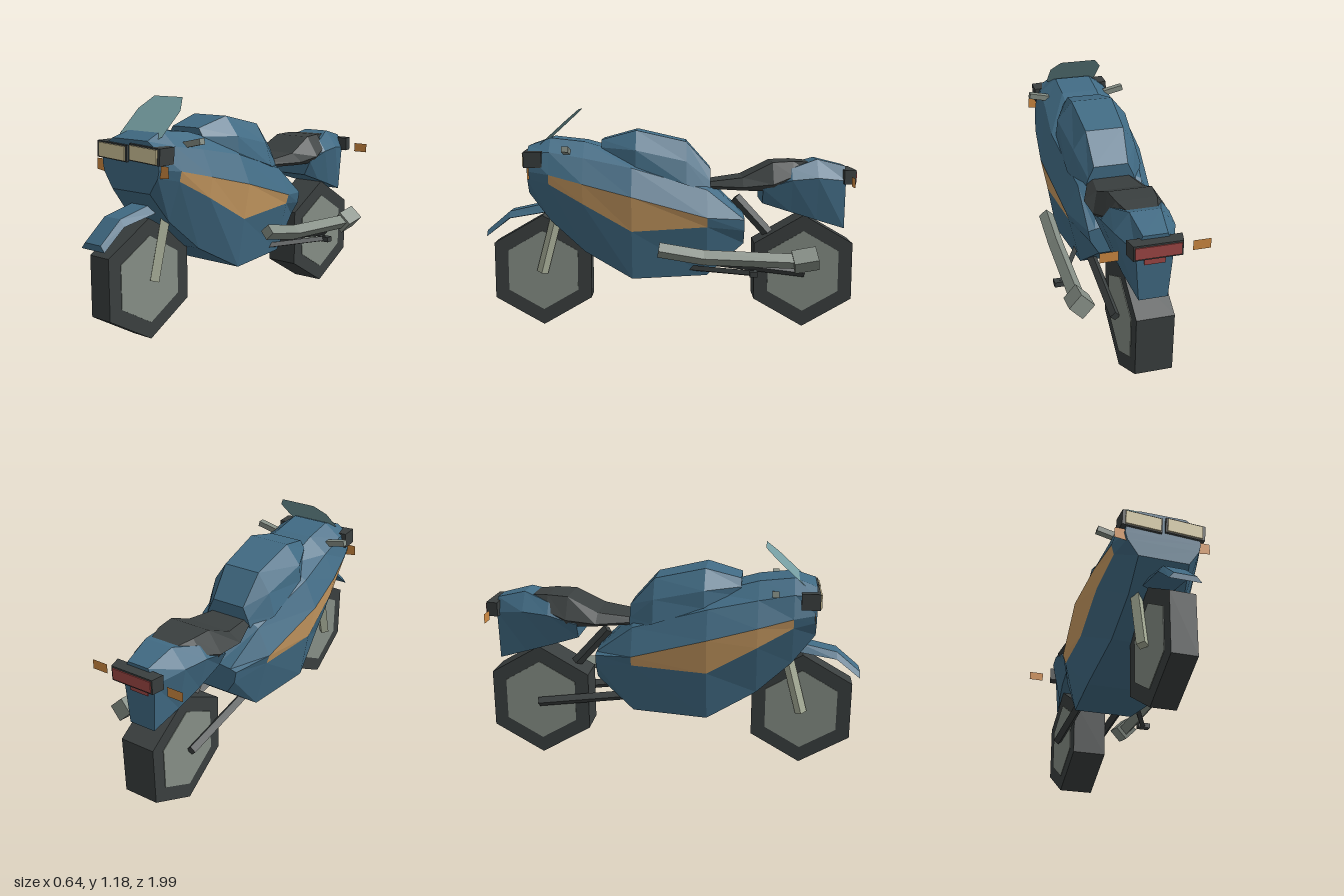
import * as THREE from 'three';

const mat = (name, color, extra = {}) =>
  new THREE.MeshStandardMaterial({ name, color, flatShading: true, ...extra });
const two = { side: THREE.DoubleSide };

// Closed hull from mirrored half profiles [x, y] (bottom to top), listed front to back.
// Faces on profile segment `seg` between sections `from` and `to` go into a second group.
function loft(sections, accent) {
  const rings = sections.map(([z, ...half]) => [
    ...half.map(([x, y]) => [x, y, z]),
    ...half.slice().reverse().map(([x, y]) => [-x, y, z]),
  ]);
  const n = rings[0].length;
  const plain = [], special = [];
  for (let s = 0; s < rings.length - 1; s++) {
    const a = rings[s], b = rings[s + 1];
    for (let i = 0; i < n; i++) {
      const j = (i + 1) % n;
      const hit = accent && s >= accent.from && s < accent.to &&
        (i === accent.seg || i === n - 2 - accent.seg);
      (hit ? special : plain).push(...a[i], ...b[i], ...a[j], ...b[i], ...b[j], ...a[j]);
    }
  }
  const first = rings[0], last = rings[rings.length - 1];
  for (let i = 0; i < n / 2 - 1; i++) {
    // end caps are strips between mirrored points
    const k = n - 1 - i;
    plain.push(...first[i], ...first[i + 1], ...first[k], ...first[i + 1], ...first[k - 1], ...first[k]);
    plain.push(...last[i], ...last[k], ...last[i + 1], ...last[i + 1], ...last[k], ...last[k - 1]);
  }
  const g = new THREE.BufferGeometry();
  g.setAttribute('position', new THREE.Float32BufferAttribute([...plain, ...special], 3));
  g.addGroup(0, plain.length / 3, 0);
  if (special.length) g.addGroup(plain.length / 3, special.length / 3, 1);
  g.computeVertexNormals();
  return g;
}

export function createModel() {
  const blue = mat('blue paint', 0x416b84);
  const tan = mat('tan stripe', 0xcd9e64);
  const dark = mat('dark rubber', 0x3a3f3f);
  const grey = mat('grey metal', 0x858e85);
  const pale = mat('pale fork metal', 0xaab19b);
  const glass = mat('windscreen glass', 0x749ca0, two);
  const cream = mat('headlamp cream', 0xd2c59a);
  const orange = mat('indicator orange', 0xd18b42, two);
  const red = mat('tail lamp red', 0xa04846);

  const model = new THREE.Group();
  model.name = 'motorcycle';
  const bike = new THREE.Group();
  bike.name = 'bike';
  bike.position.x = -0.035;
  model.add(bike);

  const add = (name, geo, material, x = 0, y = 0, z = 0) => {
    const m = new THREE.Mesh(geo, material);
    m.name = name;
    m.position.set(x, y, z);
    bike.add(m);
    return m;
  };
  const box = (name, w, h, d, material, x, y, z) =>
    add(name, new THREE.BoxGeometry(w, h, d), material, x, y, z);
  // Four-sided bar between two points
  const bar = (name, a, b, r, material) => {
    const p = new THREE.Vector3(...a), q = new THREE.Vector3(...b);
    const d = q.clone().sub(p);
    const m = add(name, new THREE.CylinderGeometry(r, r, d.length(), 4), material);
    m.position.copy(p).add(q).multiplyScalar(0.5);
    m.quaternion.setFromUnitVectors(new THREE.Vector3(0, 1, 0), d.normalize());
    return m;
  };

  // Wheels: six-sided tyres with a flat disc on each side
  const wheel = (name, half, r, z) => {
    const hex = (radius, w) =>
      new THREE.CylinderGeometry(radius, radius, w, 6).rotateY(Math.PI / 2).rotateZ(Math.PI / 2);
    add(name + 'Tyre', hex(r, half * 2), dark, 0, r, z);
    add(name + 'Disc', hex(r * 0.72, half * 2 + 0.006), grey, 0, r, z);
  };
  wheel('frontWheel', 0.064, 0.304, 0.70);
  wheel('rearWheel', 0.092, 0.307, -0.715);

  // Fairing with the side stripe
  add('fairing', loft([
    [0.755, [0.13, 0.74], [0.185, 0.82], [0.195, 0.86], [0.185, 0.95], [0.12, 0.99]],
    [0.64, [0.14, 0.59], [0.215, 0.795], [0.228, 0.845], [0.19, 0.96], [0.10, 1.03]],
    [0.46, [0.165, 0.43], [0.245, 0.695], [0.262, 0.80], [0.20, 0.93], [0.10, 1.01]],
    [0.205, [0.208, 0.29], [0.25, 0.55], [0.285, 0.735], [0.22, 0.88], [0.10, 0.94]],
    [-0.19, [0.16, 0.30], [0.222, 0.57], [0.238, 0.62], [0.17, 0.76], [0.08, 0.81]],
    [-0.39, [0.11, 0.465], [0.155, 0.54], [0.165, 0.60], [0.13, 0.61], [0.06, 0.62]],
  ], { seg: 1, from: 1, to: 4 }), [blue, tan]);

  // Tank
  add('tank', loft([
    [0.37, [0.11, 0.93], [0.115, 0.98], [0.09, 1.02]],
    [0.185, [0.20, 0.88], [0.19, 0.97], [0.11, 1.07]],
    [-0.08, [0.20, 0.79], [0.165, 0.91], [0.10, 1.01]],
    [-0.21, [0.14, 0.74], [0.12, 0.80], [0.09, 0.865]],
  ]), blue);

  // Seat
  add('seat', loft([
    [-0.16, [0.10, 0.76], [0.11, 0.775], [0.09, 0.79]],
    [-0.38, [0.15, 0.755], [0.185, 0.775], [0.12, 0.82]],
    [-0.54, [0.15, 0.75], [0.18, 0.79], [0.11, 0.90]],
    [-0.65, [0.13, 0.78], [0.15, 0.83], [0.10, 0.905]],
    [-0.74, [0.07, 0.80], [0.08, 0.85], [0.075, 0.90]],
  ]), dark);

  // Tail
  add('tail', loft([
    [-0.485, [0.13, 0.685], [0.17, 0.765], [0.13, 0.775]],
    [-0.64, [0.12, 0.635], [0.168, 0.81], [0.125, 0.87]],
    [-0.78, [0.10, 0.59], [0.148, 0.82], [0.075, 0.915]],
    [-0.935, [0.07, 0.54], [0.09, 0.80], [0.058, 0.877]],
  ]), blue);
  add('tailLampHousing', loft([
    [-0.92, [0.13, 0.785], [0.13, 0.86]],
    [-0.983, [0.115, 0.785], [0.115, 0.86]],
  ]), dark);
  box('tailLamp', 0.215, 0.058, 0.006, red, 0, 0.822, -0.985);
  box('lowerTailLamp', 0.1, 0.045, 0.006, red, 0, 0.752, -0.937);

  // Front mudguard
  add('frontMudguard', loft([
    [1.0, [0.055, 0.495], [0.08, 0.495], [0.055, 0.525]],
    [0.875, [0.055, 0.59], [0.08, 0.595], [0.055, 0.63]],
    [0.67, [0.055, 0.625], [0.08, 0.63], [0.055, 0.675]],
    [0.58, [0.055, 0.625], [0.08, 0.63], [0.055, 0.675]],
  ]), blue);

  // Windscreen: one flat sloping pane
  const pane = new THREE.Shape([[-0.12, 0], [0.12, 0], [0.145, 0.03], [0.145, 0.2],
    [0.097, 0.29], [-0.097, 0.29], [-0.145, 0.2], [-0.145, 0.03]].map(p => new THREE.Vector2(...p)));
  add('windscreen', new THREE.ShapeGeometry(pane), glass, 0, 0.985, 0.705).rotation.x =
    -Math.atan2(0.215, 0.195);

  // Paired parts
  for (const s of [1, -1]) {
    const side = s > 0 ? 'left' : 'right';
    bar(side + 'Fork', [s * 0.095, 0.30, 0.70], [s * 0.095, 0.70, 0.593], 0.031, pale);
    box(side + 'HeadlampHousing', 0.206, 0.082, 0.095, dark, s * 0.112, 0.927, 0.722).rotation.z = -0.05;
    box(side + 'Headlamp', 0.182, 0.07, 0.008, cream, s * 0.108, 0.926, 0.773).rotation.z = -0.05;
    box(side + 'Handlebar', 0.11, 0.03, 0.035, grey, s * 0.22, 0.97, 0.545).rotation.z = s * 0.22;
    bar(side + 'Swingarm', [s * 0.115, 0.37, -0.2], [s * 0.115, 0.305, -0.72], 0.026, dark);
    const lens = new THREE.Shape([[s * 0.17, 0.815], [s * 0.248, 0.825], [s * 0.245, 0.88],
      [s * 0.185, 0.88]].map(p => new THREE.Vector2(...p)));
    add(side + 'FrontIndicator', new THREE.ShapeGeometry(lens), orange, 0, 0, 0.745);
    add(side + 'RearIndicator', new THREE.PlaneGeometry(0.085, 0.05), orange, s * 0.215, 0.805, -0.95);
  }

  // Rear shock, exhaust and foot peg
  bar('rearShock', [0, 0.70, -0.35], [0, 0.46, -0.57], 0.03, dark);
  bar('exhaustFront', [0.29, 0.462, 0.065], [0.29, 0.42, -0.18], 0.04, grey);
  bar('exhaustRear', [0.29, 0.422, -0.17], [0.29, 0.402, -0.66], 0.04, grey);
  bar('exhaustEnd', [0.29, 0.398, -0.635], [0.29, 0.42, -0.76], 0.063, grey);
  bar('pegArm', [0.16, 0.34, -0.1], [0.32, 0.345, -0.43], 0.018, dark);
  box('footPeg', 0.07, 0.028, 0.04, dark, 0.32, 0.345, -0.425);

  return model;
}
